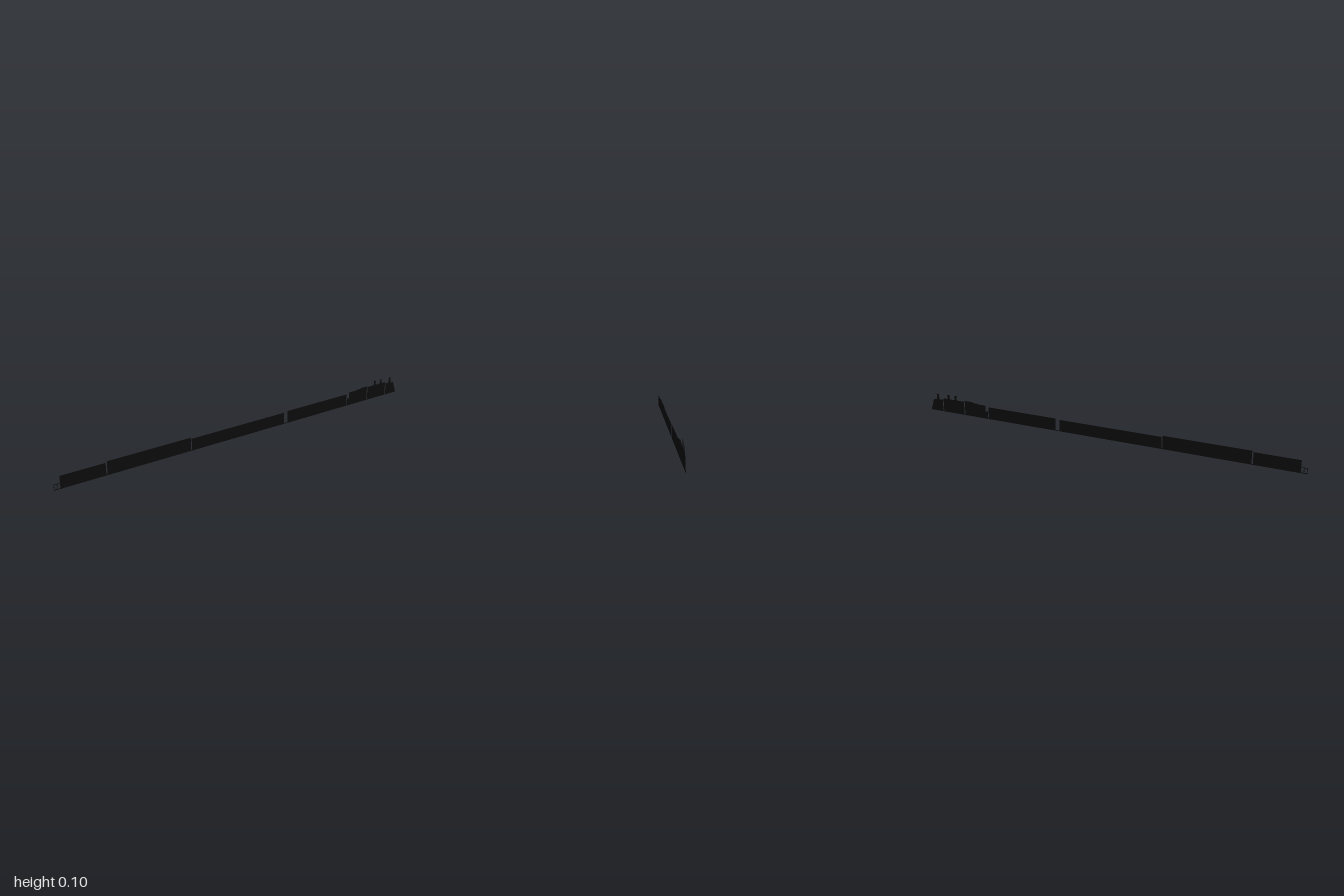
import * as THREE from 'three';

// A flat train silhouette standing on a thin rail strip, set diagonally.
export function createModel() {
  const model = new THREE.Group();
  model.name = 'trainSilhouette';
  const black = new THREE.MeshStandardMaterial({ color: 0x0a0a0a, side: THREE.DoubleSide });
  black.name = 'black';

  const slope = 0.314; // z drop per unit of x
  const stretch = Math.hypot(1, slope);
  const train = new THREE.Group();
  train.name = 'train';
  train.rotation.y = Math.atan(slope);
  train.scale.x = stretch; // lets every part be placed by its final x
  model.add(train);

  function panel(name, points) {
    const shape = new THREE.Shape(points.map(([x, y]) => new THREE.Vector2(x, y)));
    const mesh = new THREE.Mesh(new THREE.ShapeGeometry(shape), black);
    mesh.name = name;
    train.add(mesh);
  }
  const plate = (name, x0, x1, y0, y1) =>
    panel(name, [[x0, y0], [x1, y0], [x1, y1], [x0, y1]]);

  // Continuous strip under all the cars
  plate('baseStrip', -1, 0.999, 0, 0.004);

  // Rear platform railing
  plate('railingTop', -1, -0.967, 0.027, 0.03);
  for (const x of [-0.999, -0.985]) plate('railingPost', x, x + 0.003, 0.004, 0.027);

  // Cars, from the tail forward: start, end, height
  const cars = [
    [-0.97, -0.757, 0.064],
    [-0.751, -0.324, 0.07],
    [-0.32, 0.222, 0.063],
    [0.244, 0.637, 0.067],
  ];
  for (const [x0, x1, h] of cars) plate('car', x0, x1, 0.004, h);

  // Locomotive: coupling step, cab, boiler and sloping nose
  plate('couplingStep', 0.641, 0.656, 0.004, 0.041);
  panel('cab', [
    [0.656, 0.004], [0.783, 0.004], [0.783, 0.081], [0.735, 0.081],
    [0.735, 0.077], [0.705, 0.077], [0.705, 0.074], [0.656, 0.074],
  ]);
  plate('boiler', 0.788, 0.918, 0.004, 0.076);
  panel('nose', [[0.923, 0.004], [0.999, 0.004], [0.981, 0.061], [0.975, 0.063], [0.923, 0.069]]);
  panel('noseFoot', [[0.98, 0], [1, 0], [0.999, 0.004], [0.98, 0.004]]);

  // Chimneys: centre, base, top
  for (const [x, y0, y1] of [[0.84, 0.076, 0.101], [0.884, 0.076, 0.1], [0.952, 0.064, 0.097]]) {
    plate('chimney', x - 0.007, x + 0.007, y0, y1);
    plate('chimneyRim', x - 0.009, x + 0.009, y1 - 0.003, y1);
  }
  return model;
}
